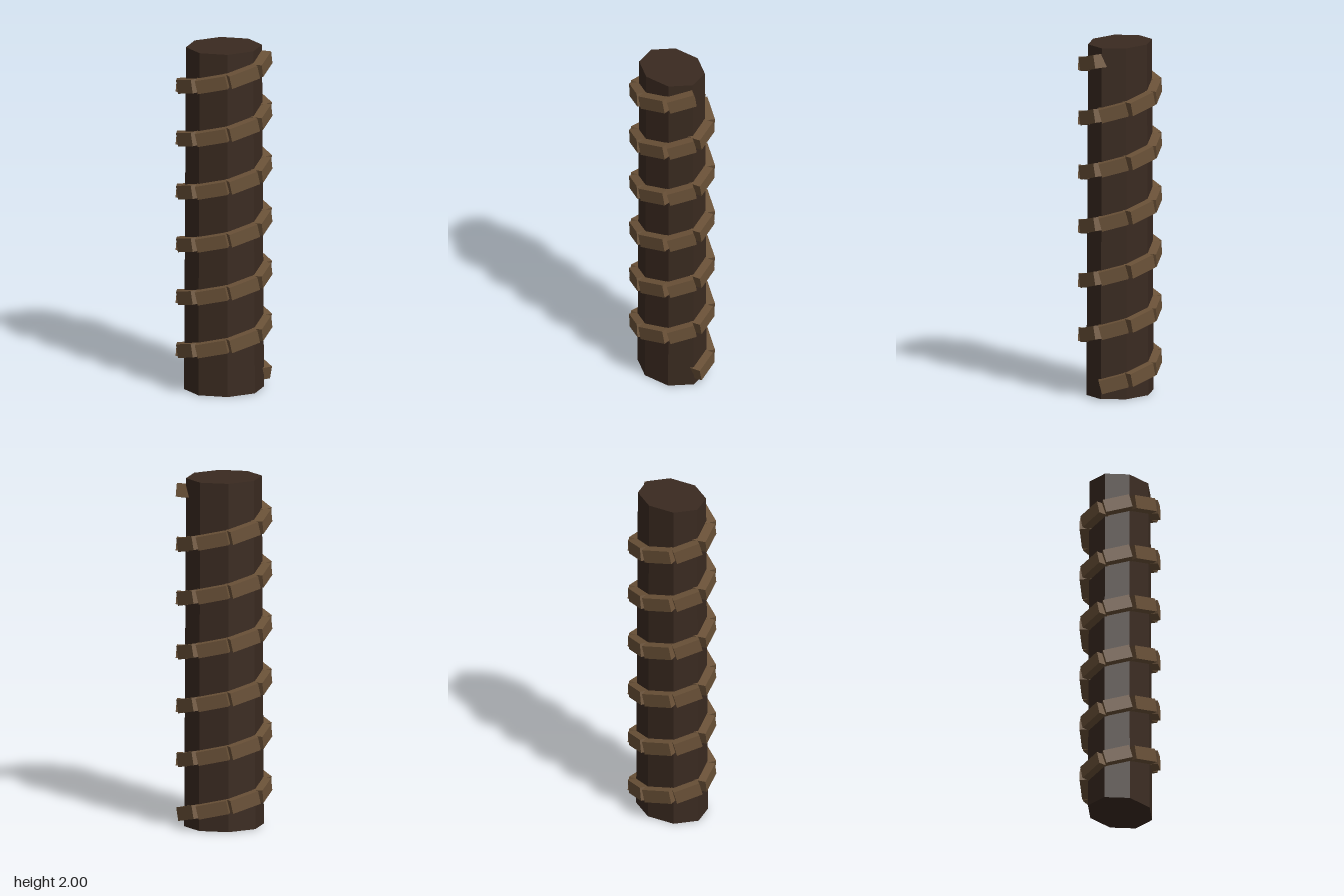
import * as THREE from 'three';

const DEPTH_RATIO = 0.8; // the oval is narrower along z
const SIDES = 8;

export function createModel() {
  const model = new THREE.Group();
  model.name = 'wrappedColumn';
  const darkWood = new THREE.MeshStandardMaterial({ color: 0x3a2a20, flatShading: true });
  const lightWood = new THREE.MeshStandardMaterial({ color: 0x6b5238, flatShading: true });

  // Tapered eight-sided oval trunk
  const trunk = new THREE.Mesh(new THREE.CylinderGeometry(0.214, 0.225, 2, SIDES), darkWood);
  trunk.name = 'trunk';
  trunk.position.y = 1;
  trunk.scale.z = DEPTH_RATIO;
  model.add(trunk);

  // Vine winding up the trunk, one block per side
  const vine = new THREE.Group();
  vine.name = 'spiralVine';
  model.add(vine);
  const turns = 6, radius = 0.225, startY = 0.075, endY = 1.93;
  const count = turns * SIDES;
  const pointAt = (i) => {
    const a = (i / SIDES) * Math.PI * 2;
    return new THREE.Vector3(
      radius * Math.cos(a),
      startY + ((endY - startY) * i) / count,
      -radius * DEPTH_RATIO * Math.sin(a)
    );
  };
  const worldUp = new THREE.Vector3(0, 1, 0);
  for (let i = 0; i < count; i++) {
    const from = pointAt(i), to = pointAt(i + 1);
    const along = to.clone().sub(from);
    const length = along.length() * 1.03;
    along.normalize();
    const outward = along.clone().cross(worldUp).normalize();
    const up = outward.clone().cross(along);
    const block = new THREE.Mesh(new THREE.BoxGeometry(length, 0.077, 0.092), lightWood);
    block.name = 'vineBlock';
    block.quaternion.setFromRotationMatrix(new THREE.Matrix4().makeBasis(along, up, outward));
    block.position.copy(from).lerp(to, 0.5);
    vine.add(block);
  }
  return model;
}
